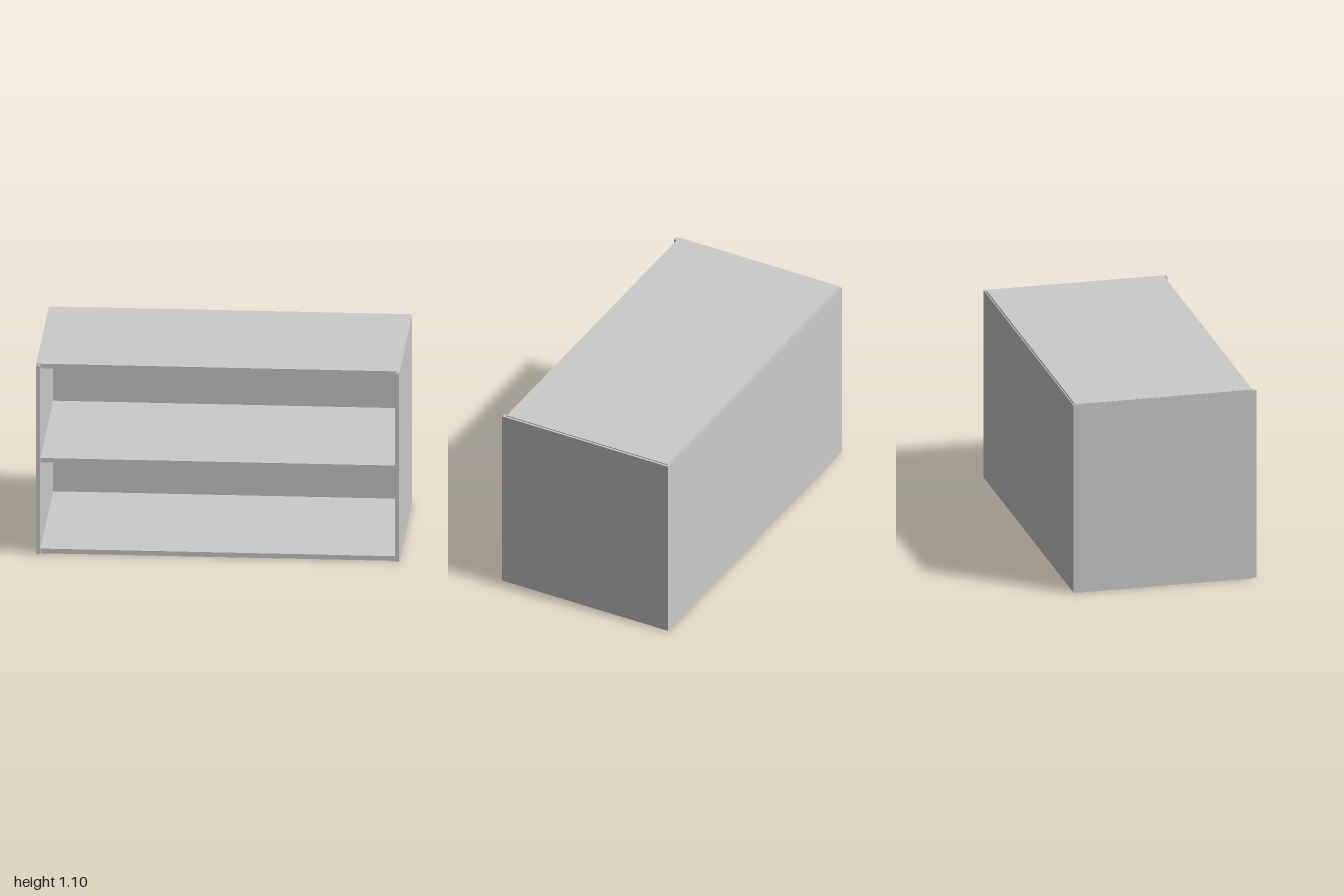
import * as THREE from 'three';

export function createModel() {
  const group = new THREE.Group();
  const material = new THREE.MeshStandardMaterial({ color: 0xcccccc, flatShading: true });

  // A board given by its [min, max] extent along each axis
  function board(name, [x0, x1], [y0, y1], [z0, z1]) {
    const mesh = new THREE.Mesh(new THREE.BoxGeometry(x1 - x0, y1 - y0, z1 - z0), material);
    mesh.name = name;
    mesh.position.set((x0 + x1) / 2, (y0 + y1) / 2, (z0 + z1) / 2);
    group.add(mesh);
  }

  // Side panels, standing slightly proud of the shelves at the front
  const sideY = [0.003, 1.091];
  const sideZ = [-0.513, 0.518];
  board('rightSide', [-1, -0.976], sideY, sideZ);
  board('leftSide', [0.976, 1], sideY, sideZ);

  // Bottom, middle shelf and top, let into the sides
  const shelfZ = [-0.508, 0.497];
  board('bottomPanel', [-0.999, 0.988], [0, 0.027], shelfZ);
  board('middleShelf', [-0.999, 0.988], [0.525, 0.551], shelfZ);
  board('topPanel', [-0.999, 0.988], [1.07, 1.096], shelfZ);

  // Thin back sheet
  board('backPanel', [-1, 1], sideY, [-0.518, -0.512]);

  return group;
}
